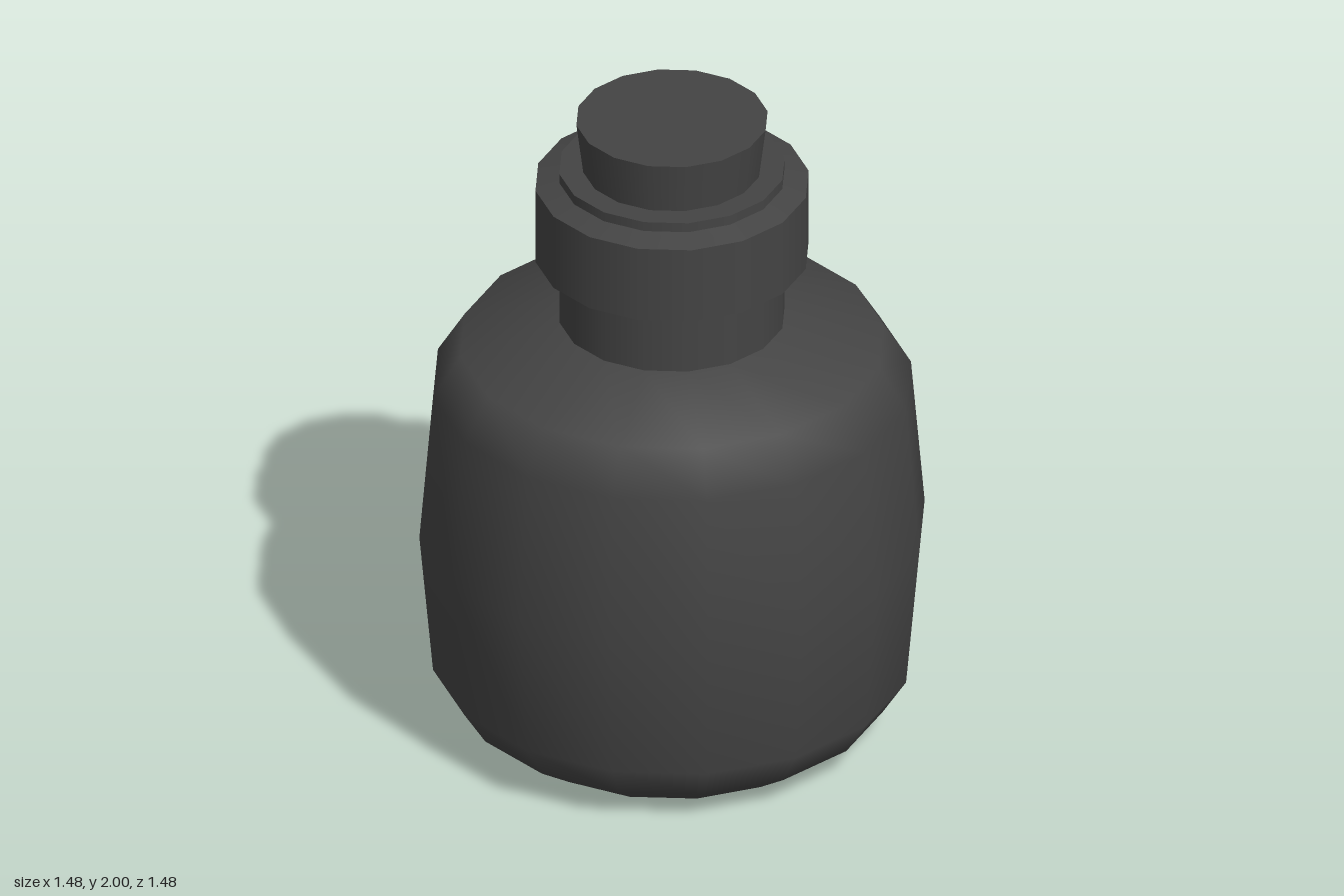
import * as THREE from 'three';
import { mergeGeometries } from 'three/addons/utils/BufferGeometryUtils.js';

const SIDES = 16;

// Turns each run of [radius, height] points; runs are smooth inside and sharp where they meet
function turned(name, material, runs) {
  const parts = runs.map((run) =>
    new THREE.LatheGeometry(run.map(([r, y]) => new THREE.Vector2(r, y)), SIDES));
  const mesh = new THREE.Mesh(mergeGeometries(parts), material);
  mesh.name = name;
  return mesh;
}

export function createModel() {
  const group = new THREE.Group();
  group.name = 'bottle';
  const dark = new THREE.MeshStandardMaterial({ color: 0x444444 });

  // Rounded belly with a flat base
  group.add(turned('body', dark, [
    [[0, 0], [0.5, 0]],
    [[0.5, 0], [0.63, 0.09], [0.7, 0.2], [0.74, 0.65], [0.7, 1.12], [0.62, 1.25], [0.33, 1.34]],
  ]));

  // Straight neck, ending in a thin lip above the collar
  group.add(turned('neck', dark, [
    [[0.33, 1.34], [0.33, 1.84]],
    [[0.33, 1.84], [0, 1.84]],
  ]));

  // Wide collar with slightly sloped upper and lower faces
  group.add(turned('collar', dark, [
    [[0.33, 1.53], [0.4, 1.55]],
    [[0.4, 1.55], [0.4, 1.79]],
    [[0.4, 1.79], [0.33, 1.81]],
  ]));

  // Tapered stopper, wider at the top
  group.add(turned('stopper', dark, [
    [[0.26, 1.84], [0.28, 2]],
    [[0.28, 2], [0, 2]],
  ]));

  return group;
}
